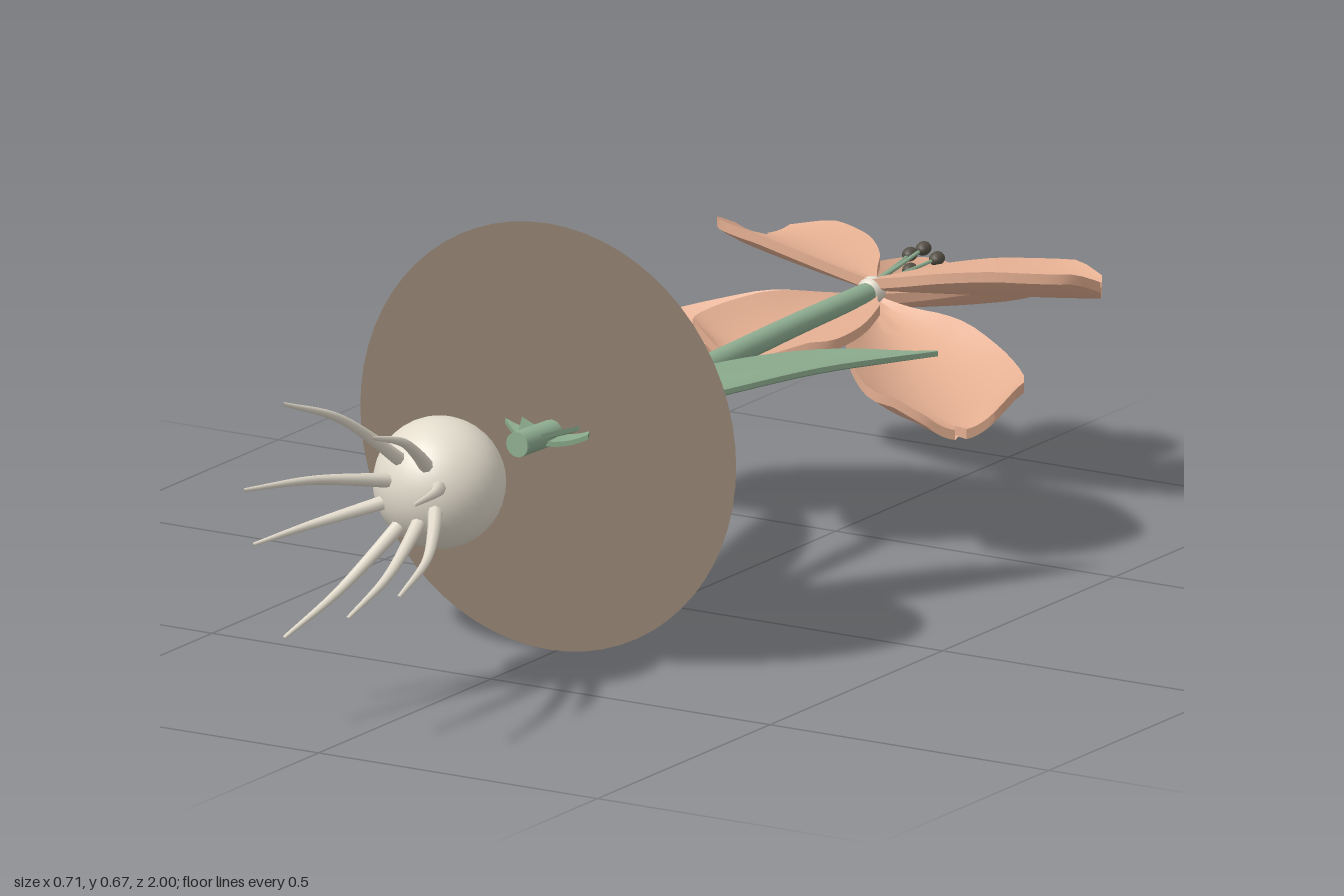
import * as THREE from 'three';
import { toCreasedNormals } from 'three/addons/utils/BufferGeometryUtils.js';

const V = (x, y, z) => new THREE.Vector3(x, y, z);

function material(name, color, side = THREE.FrontSide) {
  const m = new THREE.MeshStandardMaterial({ color, side });
  m.name = name;
  return m;
}

// Tube whose radius goes from 1 to `end` times its start
function taperedTube(points, radius, end, segments = 16, sides = 10) {
  const path = new THREE.CatmullRomCurve3(points);
  const geo = new THREE.TubeGeometry(path, segments, radius, sides);
  const pos = geo.attributes.position;
  const p = V(0, 0, 0);
  for (let i = 0; i < pos.count; i++) {
    const t = Math.floor(i / (sides + 1)) / segments;
    const c = path.getPointAt(t);
    p.fromBufferAttribute(pos, i).sub(c).multiplyScalar(1 + (end - 1) * t).add(c);
    pos.setXYZ(i, p.x, p.y, p.z);
  }
  return geo;
}

// Closed slab around a middle surface f(t, v), t in 0..1 and v in -1..1
function slab(rows, cols, thickness, f) {
  const pos = [], idx = [], ring = 2 * cols + 2;
  for (let i = -1; i <= rows + 1; i++) {
    const t = THREE.MathUtils.clamp(i / rows, 0, 1);
    const h = i < 0 || i > rows ? 0 : thickness / 2;
    for (let j = 0; j < ring; j++) {
      const top = j <= cols;
      const k = top ? j : ring - 1 - j;
      const p = f(t, (2 * k) / cols - 1);
      pos.push(p.x, p.y + (top ? h : -h), p.z);
    }
  }
  for (let i = 0; i < rows + 2; i++) {
    for (let j = 0; j < ring; j++) {
      const a = i * ring + j, b = i * ring + ((j + 1) % ring);
      idx.push(a, b, a + ring, a + ring, b, b + ring);
    }
  }
  const geo = new THREE.BufferGeometry();
  geo.setAttribute('position', new THREE.Float32BufferAttribute(pos, 3));
  geo.setIndex(idx);
  return toCreasedNormals(geo, 0.8);
}

const profile = (pairs) => new THREE.SplineCurve(pairs.map((p) => new THREE.Vector2(...p)));

// Petal running along +x from the origin, notched at its tip
const petalOutline = profile([[0, 0.01], [0.15, 0.045], [0.3, 0.083], [0.5, 0.113],
  [0.7, 0.128], [0.88, 0.12], [1, 0.055]]);
function petalGeometry(length, width, drop, cup, roll) {
  return slab(18, 12, 0.016, (t, v) => {
    const { x: u, y } = petalOutline.getPoint(t);
    const w = y * width;
    const notch = t === 1 && v === 0 ? 0.03 : 0;
    const lift = cup * v * v * Math.min(1, w / 0.1) + roll * w * v;
    return V(length * u - notch, -drop * Math.pow(u, 0.8) + lift, w * v);
  });
}

// Channelled leaf following a curve, widening then closing to a point
const leafOutline = profile([[0, 0.054], [0.2, 0.06], [0.4, 0.066], [0.6, 0.06], [0.8, 0.04], [1, 0.002]]);
function leafGeometry(points) {
  const path = new THREE.CatmullRomCurve3(points);
  return slab(20, 8, 0.008, (t, v) => {
    const c = path.getPointAt(t), d = path.getTangentAt(t);
    const w = leafOutline.getPoint(t).y;
    const side = V(-d.z, 0, d.x).normalize();
    return c.addScaledVector(side, w * v).add(V(0, 0.25 * w * v * v, 0));
  });
}

export function createModel() {
  const model = new THREE.Group();
  model.name = 'floweringBulb';
  const soil = material('soilBrown', 0x8d7c6b, THREE.DoubleSide);
  const cream = material('bulbCream', 0xe3dccd);
  const green = material('stemGreen', 0x8fae92);
  const leafGreen = material('leafGreen', 0x88a78a);
  const peach = material('petalPeach', 0xe3ae91);
  const dark = material('antherDark', 0x565046);

  const add = (name, geo, mat, parent = model) => {
    const mesh = new THREE.Mesh(geo, mat);
    mesh.name = name;
    parent.add(mesh);
    return mesh;
  };

  // Ground disc, upright and paper thin
  add('groundDisc', new THREE.CircleGeometry(0.337, 64), soil).position.set(-0.015, 0.337, 0.31);

  // Bulb
  add('bulb', new THREE.SphereGeometry(0.102, 32, 20), cream).position.set(-0.014, 0.339, 0.627);

  // Roots, spreading early and then running forward: base x, y then tip x, y, z
  const roots = new THREE.Group();
  roots.name = 'roots';
  model.add(roots);
  [
    [-0.034, 0.385, -0.083, 0.533, 0.97],
    [0.01, 0.382, 0.058, 0.493, 0.94],
    [0.03, 0.354, 0.115, 0.387, 0.91],
    [0.024, 0.322, 0.143, 0.266, 1.0],
    [0.0, 0.304, 0.033, 0.21, 0.97],
    [-0.035, 0.29, -0.1, 0.153, 0.94],
    [-0.06, 0.32, -0.174, 0.283, 0.91],
    [-0.043, 0.354, -0.135, 0.396, 1.0],
  ].forEach(([bx, by, tx, ty, tz]) => {
    const mix = (k, s) => V(bx + (tx - bx) * k, by + (ty - by) * k, 0.7 + (tz - 0.7) * s);
    const points = [mix(0, 0), mix(0.34, 0.24), mix(0.67, 0.52), mix(1, 1)];
    add('root', taperedTube(points, 0.012, 0.25, 14, 8), cream, roots);
  });

  // Stem with a closed lower end
  const stem = [V(-0.015, 0.345, 0.4), V(0.002, 0.345, 0.13), V(-0.006, 0.345, -0.15),
    V(-0.016, 0.345, -0.4), V(-0.013, 0.348, -0.61)];
  add('stem', taperedTube(stem, 0.02, 0.85, 32, 14), green);
  add('stemEnd', new THREE.CircleGeometry(0.02, 14), green).position.copy(stem[0]);

  // Two leaves crossing at the base
  add('rightLeaf', leafGeometry([V(0.015, 0.337, 0.345), V(-0.04, 0.352, 0.22), V(-0.095, 0.37, 0.09),
    V(-0.165, 0.385, -0.1), V(-0.255, 0.395, -0.305)]), leafGreen);
  add('leftLeaf', leafGeometry([V(-0.045, 0.337, 0.34), V(0.035, 0.352, 0.21), V(0.122, 0.371, 0.07),
    V(0.215, 0.385, -0.08), V(0.345, 0.392, -0.237)]), leafGreen);

  // Flower: three drooping outer petals and three higher inner ones
  const flower = new THREE.Group();
  flower.name = 'flower';
  flower.position.set(-0.013, 0, -0.625);
  model.add(flower);
  [
    // name, angle, length, width, base height, drop, cup, roll
    ['outerPetal', 90, 0.375, 1, 0.335, 0.075, 0.033, 0],
    ['outerPetal', -38, 0.392, 1, 0.33, 0.108, 0.045, 0.03],
    ['outerPetal', 218, 0.392, 1, 0.33, 0.108, 0.045, -0.03],
    ['innerPetal', 30, 0.35, 0.85, 0.358, 0.01, 0.032, 0.16],
    ['innerPetal', 150, 0.35, 0.85, 0.358, 0.01, 0.032, -0.16],
    ['innerPetal', -90, 0.37, 1, 0.333, 0.015, 0.035, 0],
  ].forEach(([name, angle, length, width, y, drop, cup, roll]) => {
    const petal = add(name, petalGeometry(length, width, drop, cup, roll), peach, flower);
    petal.position.y = y;
    petal.rotation.y = THREE.MathUtils.degToRad(angle);
  });

  // Flower heart, stamens and anthers
  add('flowerHeart', new THREE.SphereGeometry(0.022, 16, 12), cream, flower).position.set(0, 0.35, 0);
  for (let i = 0; i < 6; i++) {
    const a = (i + 0.5) * Math.PI / 3;
    const x = Math.cos(a), y = Math.sin(a);
    const tip = V(0.028 * x, 0.356 + 0.025 * y, -0.15);
    add('filament', taperedTube([V(0.008 * x, 0.352 + 0.008 * y, 0),
      V(0.016 * x, 0.355 + 0.015 * y, -0.08), tip], 0.004, 0.7, 8, 6), green, flower);
    const anther = add('anther', new THREE.SphereGeometry(0.011, 10, 8), dark, flower);
    anther.position.copy(tip);
    anther.scale.z = 1.4;
  }
  return model;
}
